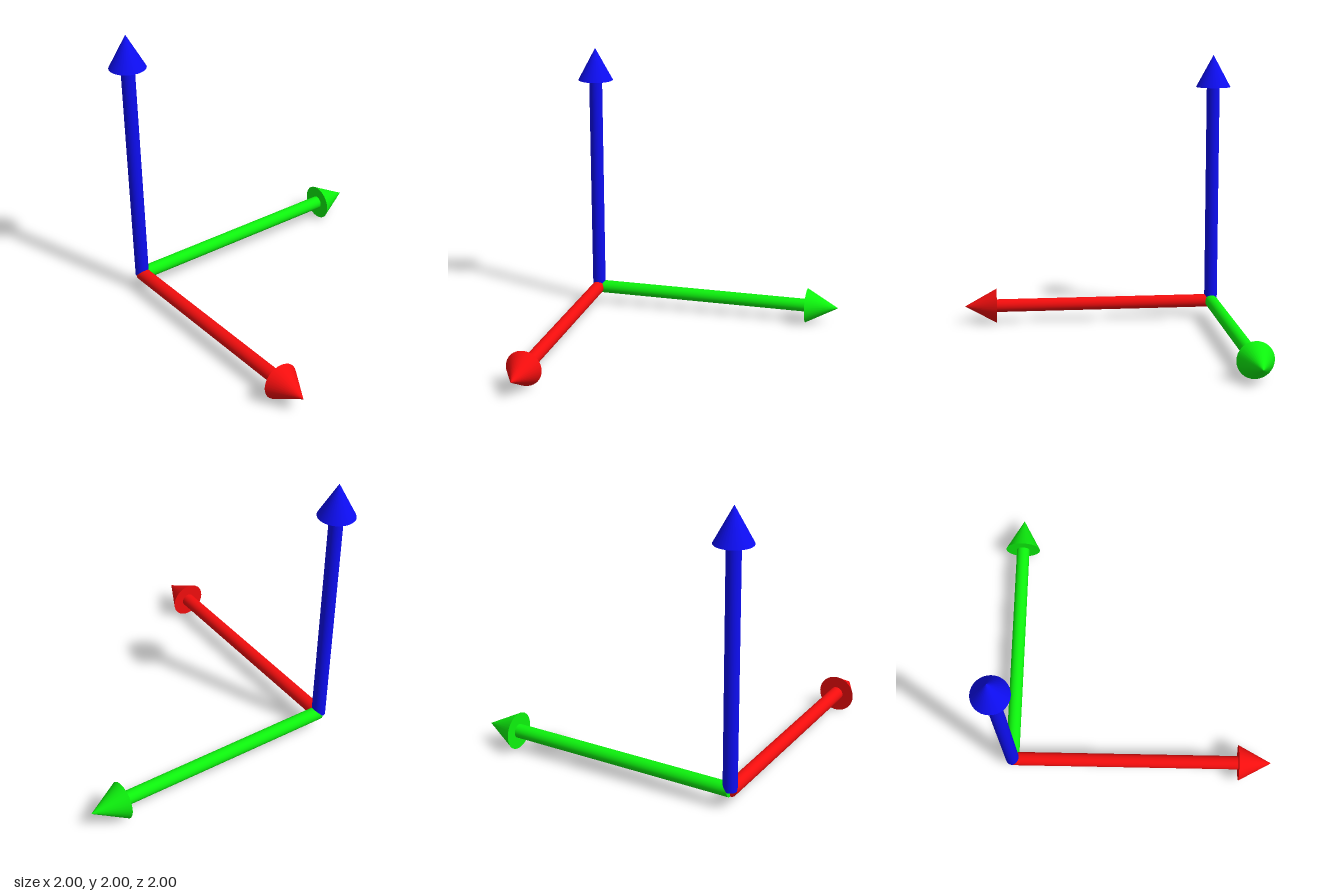
import * as THREE from 'three';

const RADIUS = 0.128;        // arrowhead radius
const SHAFT_RADIUS = 0.048;
const LENGTH = 2 - RADIUS;   // origin to tip
const HEAD = 0.237;          // arrowhead length
const SIDES = 32;

// One arrow along +y, starting at its own origin
function makeArrow(name, color) {
  const material = new THREE.MeshStandardMaterial({ color });
  const arrow = new THREE.Group();
  arrow.name = name;

  const shaftLength = LENGTH - HEAD;
  const shaft = new THREE.Mesh(
    new THREE.CylinderGeometry(SHAFT_RADIUS, SHAFT_RADIUS, shaftLength, SIDES), material);
  shaft.name = name + 'Shaft';
  shaft.position.y = shaftLength / 2;

  const head = new THREE.Mesh(new THREE.ConeGeometry(RADIUS, HEAD, SIDES), material);
  head.name = name + 'Head';
  head.position.y = LENGTH - HEAD / 2;

  arrow.add(shaft, head);
  return arrow;
}

export function createModel() {
  const model = new THREE.Group();
  model.name = 'axisArrows';

  // Three perpendicular arrows meeting at one corner
  const up = makeArrow('upArrow', 0x0d0df2);
  const side = makeArrow('sideArrow', 0xf20d0d);
  side.rotation.z = -Math.PI / 2;
  const back = makeArrow('backArrow', 0x0df20d);
  back.rotation.x = -Math.PI / 2;

  for (const arrow of [up, side, back]) {
    arrow.position.set(RADIUS - 1, RADIUS, 1 - RADIUS);
    model.add(arrow);
  }
  return model;
}
